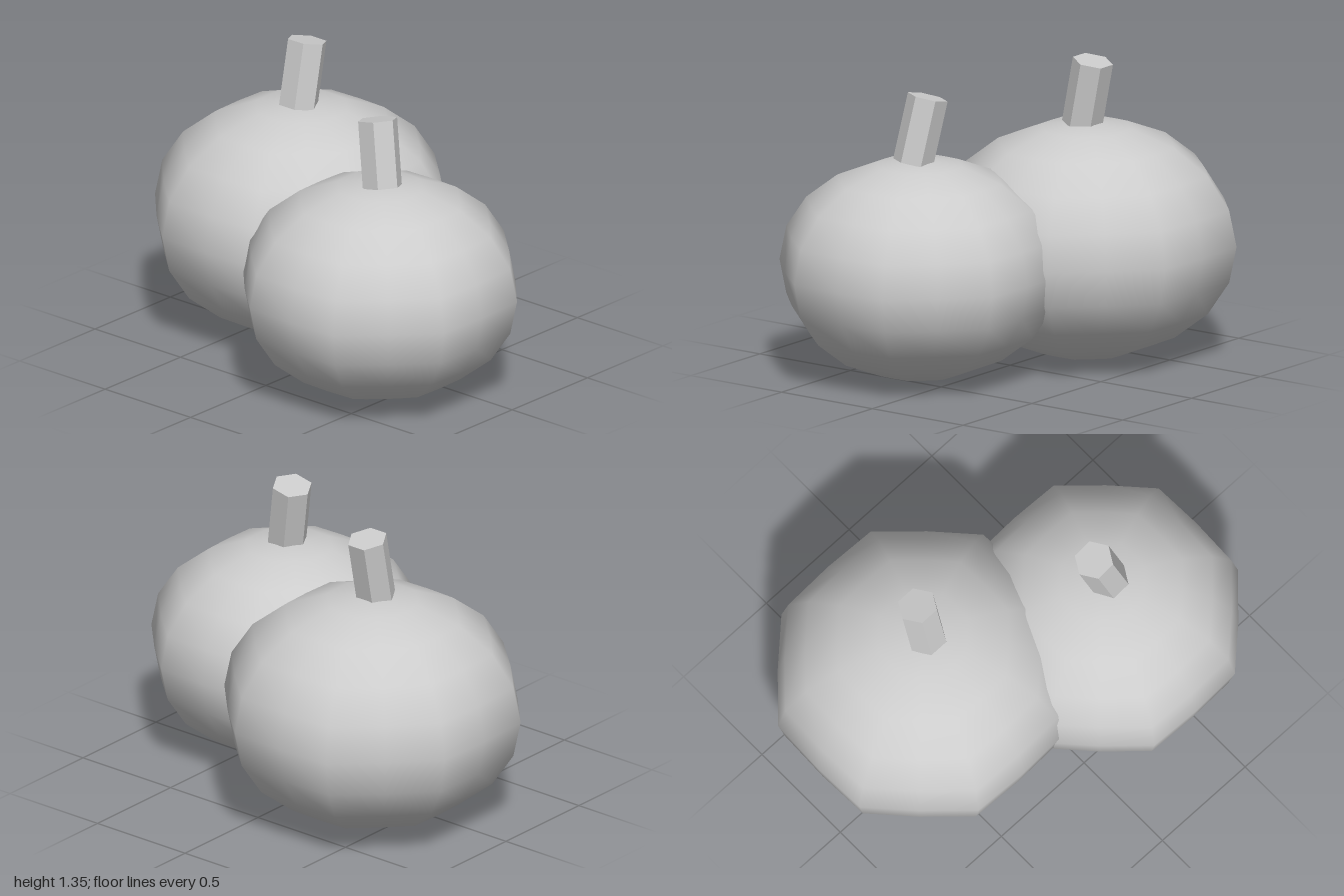
import * as THREE from 'three';

const grey = new THREE.MeshStandardMaterial({ color: 0xcccccc });
grey.name = 'grey';
const stemGrey = grey.clone();
stemGrey.name = 'flatGrey';
stemGrey.flatShading = true;

// Squashed sphere with eight shallow ribs, peaks halfway between the axes
function bodyGeometry(radius, halfHeight) {
  const geo = new THREE.SphereGeometry(1, 16, 10);
  geo.scale(radius, halfHeight, radius);
  const pos = geo.attributes.position;
  for (let i = 0; i < pos.count; i++) {
    const x = pos.getX(i), z = pos.getZ(i);
    const rib = 1 + 0.033 * (1 - Math.cos(8 * Math.atan2(z, x)));
    pos.setX(i, x * rib);
    pos.setZ(i, z * rib);
  }
  return geo;
}

function pumpkin(name, { x, z, radius, halfHeight, stemAt, tiltX, tiltZ }) {
  const group = new THREE.Group();
  group.name = name;

  const body = new THREE.Mesh(bodyGeometry(radius, halfHeight), grey);
  body.name = 'body';
  body.position.set(x, halfHeight + 0.002, z);

  // Six-sided leaning stem
  const stem = new THREE.Mesh(new THREE.CylinderGeometry(0.09, 0.09, 0.3, 6), stemGrey);
  stem.name = 'stem';
  stem.position.set(...stemAt);
  stem.rotation.set(tiltX, 0, tiltZ);

  group.add(body, stem);
  return group;
}

export function createModel() {
  const model = new THREE.Group();
  model.name = 'pumpkinPair';
  model.add(
    pumpkin('frontPumpkin', {
      x: -0.196, z: 0.4, radius: 0.596, halfHeight: 0.491,
      stemAt: [-0.193, 1.115, 0.397], tiltX: -0.2, tiltZ: -0.12,
    }),
    pumpkin('backPumpkin', {
      x: 0.147, z: -0.36, radius: 0.639, halfHeight: 0.528,
      stemAt: [0.153, 1.188, -0.36], tiltX: 0, tiltZ: -0.2,
    }),
  );
  return model;
}
